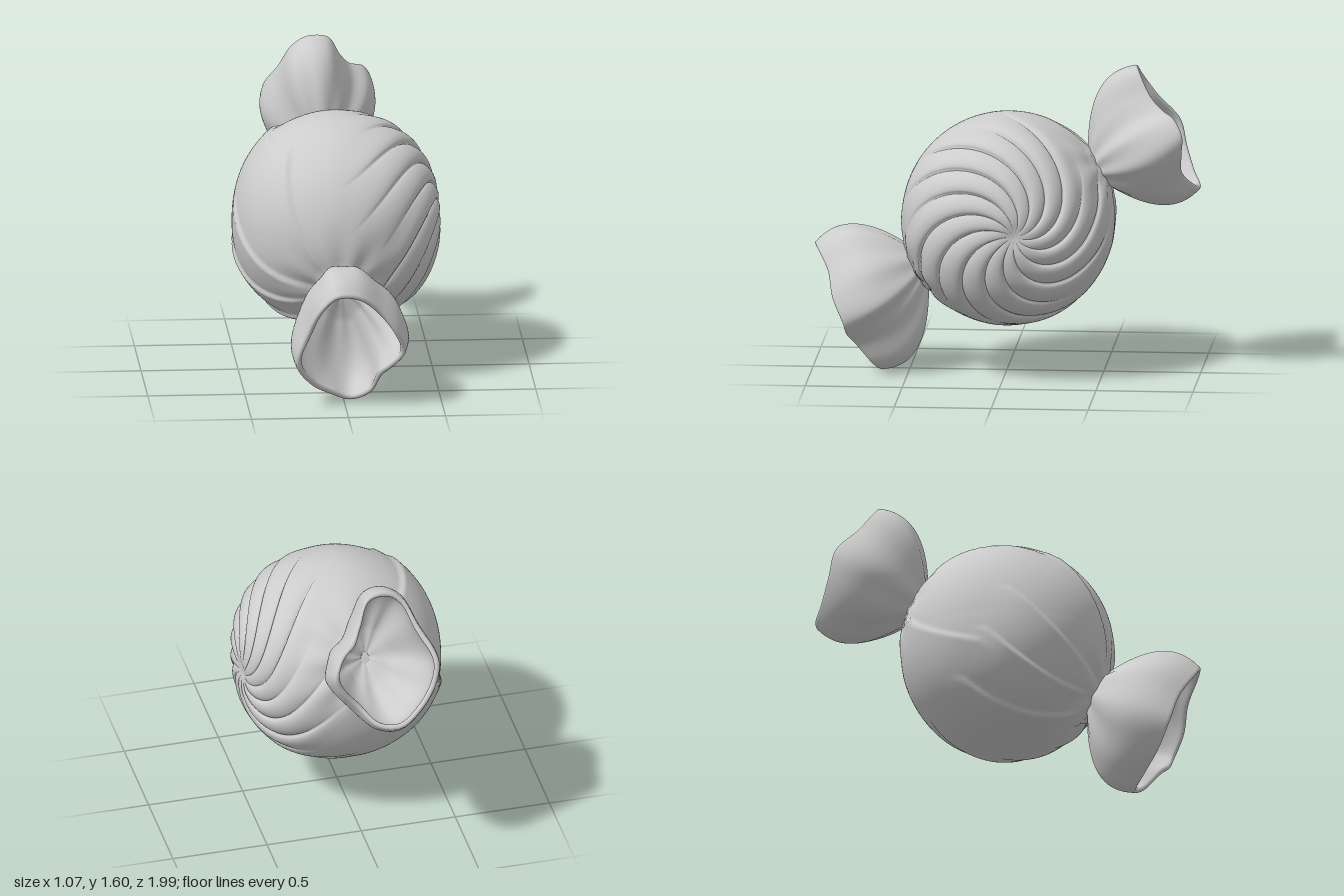
import * as THREE from 'three';

const V = (x, y, z) => new THREE.Vector3(x, y, z);
const ss = (x, a, b) => THREE.MathUtils.smoothstep(x, a, b);
const CENTER = V(0, 0.803, -0.01);
const AXIS = V(0, -0.48, 0.877).normalize(); // from centre to front neck
const UP = V(0, AXIS.z, -AXIS.y);

// Skin a surface from a point rule; u wraps round, j counts rows
function skin(nu, nv, rule) {
  const pos = [], idx = [];
  for (let j = 0; j <= nv; j++)
    for (let i = 0; i < nu; i++) pos.push(...rule(i / nu, j, nv).toArray());
  for (let j = 0; j < nv; j++)
    for (let i = 0; i < nu; i++) {
      const a = j * nu + i, b = j * nu + (i + 1) % nu;
      idx.push(a, b, a + nu, b, b + nu, a + nu);
    }
  const g = new THREE.BufferGeometry();
  g.setAttribute('position', new THREE.Float32BufferAttribute(pos, 3));
  g.setIndex(idx);
  g.computeVertexNormals();
  return g;
}

// Overlapping wrapper edges fanning out from the front and back necks
const FRONT_EDGES = [0.85, 0.0, -0.48, -1.0];
const BACK_EDGES = [0.68, -0.6];

function wrapperEdges(d) {
  const a = d.dot(AXIS), psi = Math.atan2(d.dot(UP), -d.x), r = Math.sqrt(Math.max(0, 1 - a * a));
  let h = 0;
  for (const [edges, s] of [[FRONT_EDGES, 1], [BACK_EDGES, -1]]) {
    const mask = ss(a * s, -0.2, 0.25) * ss(r, 0.15, 0.55);
    for (const e of edges) {
      const dist = (e + 0.25 * (1 - Math.abs(a)) - psi) * r;
      if (dist > -0.03) h += 0.018 * mask * ss(dist, -0.03, 0.015) * Math.exp(-Math.max(0, dist) / 0.22);
    }
  }
  return h * ss(-d.x, 0.0, 0.25);
}

// Ball with a pinwheel of rounded pleats around +x
const ARMS = 13;
function bodyPoint(u, j, nv) {
  const th = Math.PI * Math.pow(j / nv, 1.12);
  const phi = -u * Math.PI * 2 + 2.2 * ss(th, -0.4, 1.8);
  const d = V(Math.cos(th), Math.sin(th) * Math.sin(phi), -Math.sin(th) * Math.cos(phi));
  d.z -= 0.13 * Math.pow(Math.max(0, d.x), 3);
  d.normalize();
  const arm = Math.floor(u * ARMS + 1e-6), f = Math.max(0, u * ARMS - arm);
  const fadeAt = (k) => 1.3 + 0.25 * Math.sin(k * 2.3);
  const end = THREE.MathUtils.lerp(fadeAt(arm), fadeAt((arm + 1) % ARMS), f);
  const pleat = Math.pow(Math.max(0, Math.sin(Math.PI * Math.pow(f, 0.7))), 0.6);
  const env = ss(th, 0, 0.5) * (1 - ss(th, end - 0.5, end + 0.2));
  let r = 0.55 + 0.026 * (pleat - 0.7) * env - 0.018 * Math.exp(-th * th / 0.015);
  r += wrapperEdges(d) - 0.01 * ss(-d.x, 0, 0.5);
  // slightly boxy shoulders, fuller below
  r += 0.05 * d.x * d.x * (1 - d.x * d.x) + 0.022 * Math.max(0, -d.y) * Math.abs(d.x);
  // gathers running into the necks
  const a = d.dot(AXIS), psi = Math.atan2(d.dot(UP), d.x);
  const near = ss(Math.abs(a), 0.72, 0.94) * (1 - ss(Math.abs(a), 0.965, 0.995));
  r += 0.005 * near * Math.cos(psi * 9 + a) + 0.012 * ss(Math.abs(a), 0.95, 1);
  d.multiplyScalar(r);
  d.x *= 0.98;
  return d.add(CENTER);
}

// Flared tail lofted from a pinched neck to a wavy rim, with a rounded lip and a funnel inside
function tailGeometry(neck, axis, rim, bulge) {
  const curve = new THREE.CatmullRomCurve3(rim.map((p) => V(...p)), true);
  const T = 0.03, ROWS = 24, LIP = 6;
  return skin(120, ROWS * 2 + LIP, (u, j) => {
    const rel = curve.getPoint(u).sub(neck);
    const len = rel.dot(axis);
    const q = rel.addScaledVector(axis, -len), qr = q.length();
    q.normalize();
    let s = 1, inset = 0, push = 0;
    if (j <= ROWS) s = j / ROWS;
    else if (j < ROWS + LIP) {
      const a = Math.PI * (j - ROWS) / LIP;
      inset = T / 2 * (1 - Math.cos(a));
      push = T / 2 * Math.sin(a);
    } else {
      s = 1 - (j - ROWS - LIP) / ROWS;
      inset = T;
    }
    const inside = j >= ROWS + LIP;
    const flare = Math.pow(Math.sin(s * Math.PI / 2), 0.95) + bulge * Math.sin(Math.PI * s);
    const ripple = 1 + 0.06 * Math.pow(1 - s, 1.5) * Math.sin(u * Math.PI * 18);
    const wall = (0.065 * (1 - s) + (qr - 0.01) * flare) * ripple - inset;
    const radius = inside ? Math.max(0, wall) * Math.min(1, s * 6) : wall;
    const along = -0.04 * (1 - s) + len * Math.pow(s, 1.15) + push + (inside ? 0.03 * (1 - s) : 0);
    return neck.clone().addScaledVector(axis, along).addScaledVector(q, radius);
  });
}

const FRONT_RIM = [
  [-0.06, 0.66, 0.99], [-0.14, 0.59, 0.965], [-0.21, 0.45, 0.89], [-0.27, 0.25, 0.83],
  [-0.19, 0.12, 0.76], [-0.07, 0.04, 0.68], [0.04, -0.005, 0.625], [0.14, 0.04, 0.66],
  [0.2, 0.16, 0.75], [0.26, 0.22, 0.79], [0.32, 0.3, 0.81], [0.28, 0.43, 0.87],
  [0.18, 0.56, 0.905], [0.06, 0.65, 0.965],
];
const BACK_RIM = [
  [-0.1, 1.6, -0.645], [0.01, 1.59, -0.66], [0.08, 1.48, -0.72], [0.14, 1.41, -0.79],
  [0.22, 1.37, -0.86], [0.26, 1.28, -0.91], [0.23, 1.18, -0.91], [0.13, 1.05, -0.91],
  [0.03, 0.96, -0.975], [-0.09, 0.945, -0.99], [-0.2, 1.0, -0.95], [-0.3, 1.12, -0.9],
  [-0.33, 1.26, -0.86], [-0.25, 1.42, -0.74], [-0.18, 1.55, -0.66],
];

export function createModel() {
  const wrapper = new THREE.MeshStandardMaterial({ color: 0xcccccc });
  wrapper.name = 'wrapperGrey';
  const group = new THREE.Group();
  group.name = 'wrappedCandy';
  const add = (name, geometry) => {
    const mesh = new THREE.Mesh(geometry, wrapper);
    mesh.name = name;
    group.add(mesh);
  };
  add('candyBody', skin(ARMS * 22, 130, bodyPoint));
  add('frontTail', tailGeometry(V(0, 0.54, 0.475), AXIS, FRONT_RIM, 0.11));
  add('backTail', tailGeometry(V(-0.02, 1.08, -0.49), AXIS.clone().negate(), BACK_RIM, 0.08));
  return group;
}
